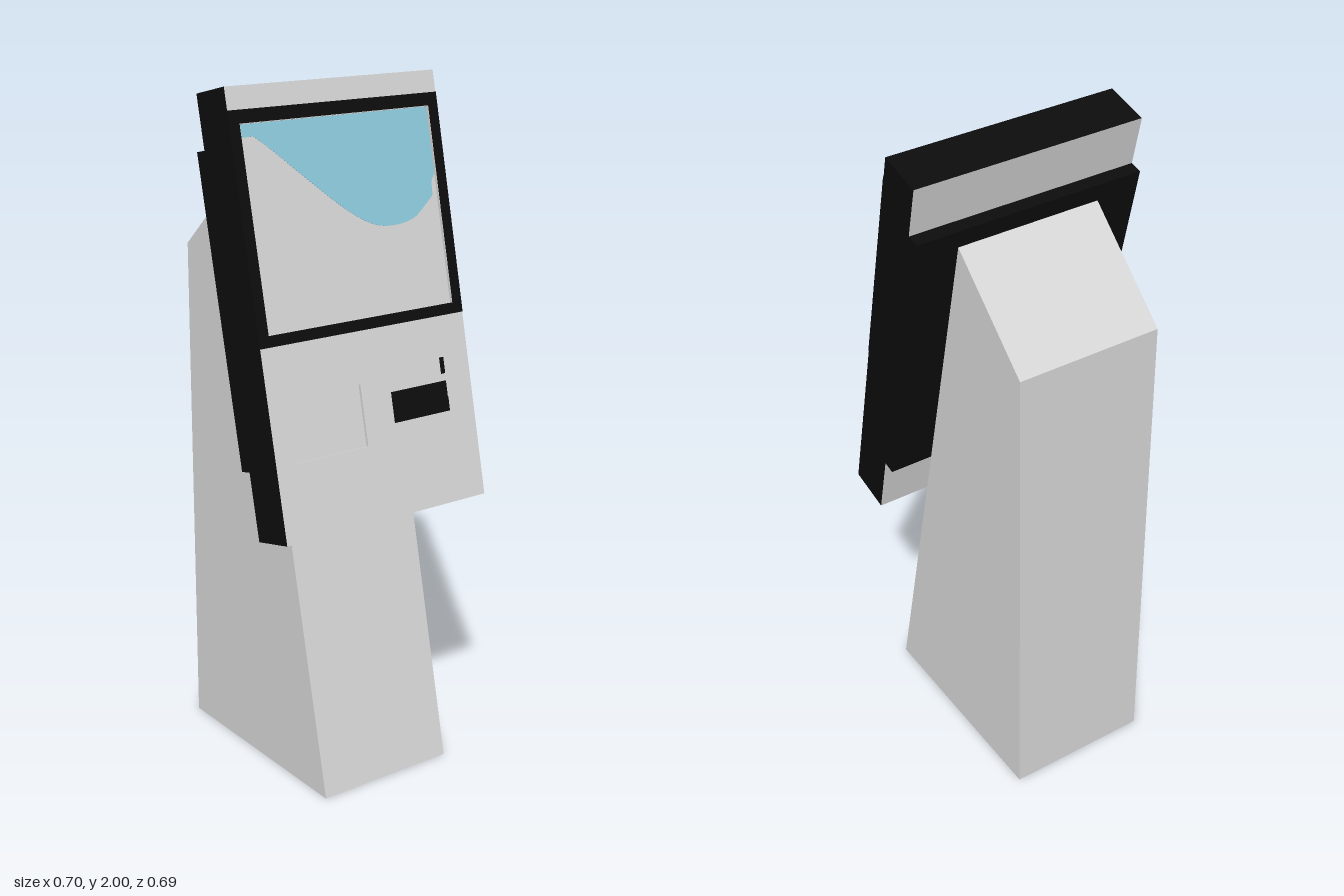
import * as THREE from 'three';

const material = (name, color) => {
  const m = new THREE.MeshStandardMaterial({ color });
  m.name = name;
  return m;
};

function createModel() {
  const grey = material('light grey', 0xd6d6d6);
  const black = material('black', 0x0c0c0c);
  const blue = material('screen blue', 0x8ccbdc);
  const model = new THREE.Group();
  model.name = 'kiosk';

  const add = (parent, name, geometry, mat) => {
    const mesh = new THREE.Mesh(geometry, mat);
    mesh.name = name;
    parent.add(mesh);
    return mesh;
  };
  // Rectangles are [x0, x1, y0, y1]
  const corners = ([x0, x1, y0, y1]) =>
    [[x0, y0], [x1, y0], [x1, y1], [x0, y1]].map(([x, y]) => new THREE.Vector2(x, y));
  const plate = (outer, holes, z0, z1) => {
    const shape = new THREE.Shape(corners(outer));
    holes.forEach((h) => shape.holes.push(new THREE.Path(corners(h))));
    return new THREE.ExtrudeGeometry(shape, { depth: z1 - z0, bevelEnabled: false }).translate(0, 0, z0);
  };

  // Wedge pedestal, from its side profile (z, y)
  const profile = [[0.345, 0], [-0.055, 1.76], [-0.34, 1.505], [-0.34, 0]];
  const side = new THREE.Shape(profile.map(([z, y]) => new THREE.Vector2(z, y)));
  add(model, 'pedestal', new THREE.ExtrudeGeometry(side, { depth: 0.44, bevelEnabled: false })
    .rotateY(-Math.PI / 2).translate(0.22, 0, 0), grey);

  // Tilted head: its local origin is the lower front edge
  const head = new THREE.Group();
  head.name = 'head';
  head.position.set(0, 0.81, 0.345);
  head.rotation.x = -0.227;
  model.add(head);

  const depth = 0.138, recess = 0.008;
  const screen = [-0.318, 0.318, 0.565, 1.124];
  const tray = [-0.28, -0.04, 0.212, 0.39];

  // Casing with grey front and back, black edges
  add(head, 'casing', plate([-0.35, 0.35, 0, 1.222], [screen, tray], -depth, 0), [grey, black]);
  add(head, 'rearHousing', plate([-0.35, 0.35, 0.195, 1.071], [], -0.176, -depth), black);
  add(head, 'screenFrame', plate([-0.351, 0.351, 0.534, 1.16], [screen], -0.002, 0.001), black);

  // Recessed panels with thin grey linings
  for (const [name, r] of [['screen', screen], ['tray', tray]]) {
    add(head, name + 'Panel', plate(r, [], -depth, -recess), grey);
    const t = 0.0015;
    const inner = [r[0] + t, r[1] - t, r[2] + t, r[3] - t];
    add(head, name + 'Lining', plate(r, [inner], -recess, 0), grey);
  }

  // Blue sweep across the top of the screen
  const sweep = new THREE.Shape();
  sweep.moveTo(0.316, 1.122);
  sweep.lineTo(-0.316, 1.122);
  sweep.lineTo(-0.316, 1.088);
  sweep.lineTo(-0.275, 1.088);
  sweep.splineThru([[-0.22, 1.045], [-0.1, 0.942], [0, 0.862], [0.08, 0.817], [0.15, 0.806],
    [0.22, 0.817], [0.27, 0.85], [0.3, 0.875]].map(([x, y]) => new THREE.Vector2(x, y)));
  sweep.lineTo(0.302, 0.915);
  sweep.lineTo(0.316, 0.935);
  add(head, 'screenSweep', new THREE.ExtrudeGeometry(sweep, { depth: 0.001, bevelEnabled: false })
    .translate(0, 0, -recess), blue);

  // Card reader and small slot
  add(head, 'cardReader', plate([0.06, 0.258, 0.262, 0.349], [], -0.002, 0.002), black);
  add(head, 'cardReaderLip', plate([0.06, 0.258, 0.262, 0.302], [], 0, 0.004), black);
  add(head, 'smallSlot', plate([0.245, 0.259, 0.37, 0.417], [], -0.002, 0.002), black);

  return model;
}

export { createModel };
